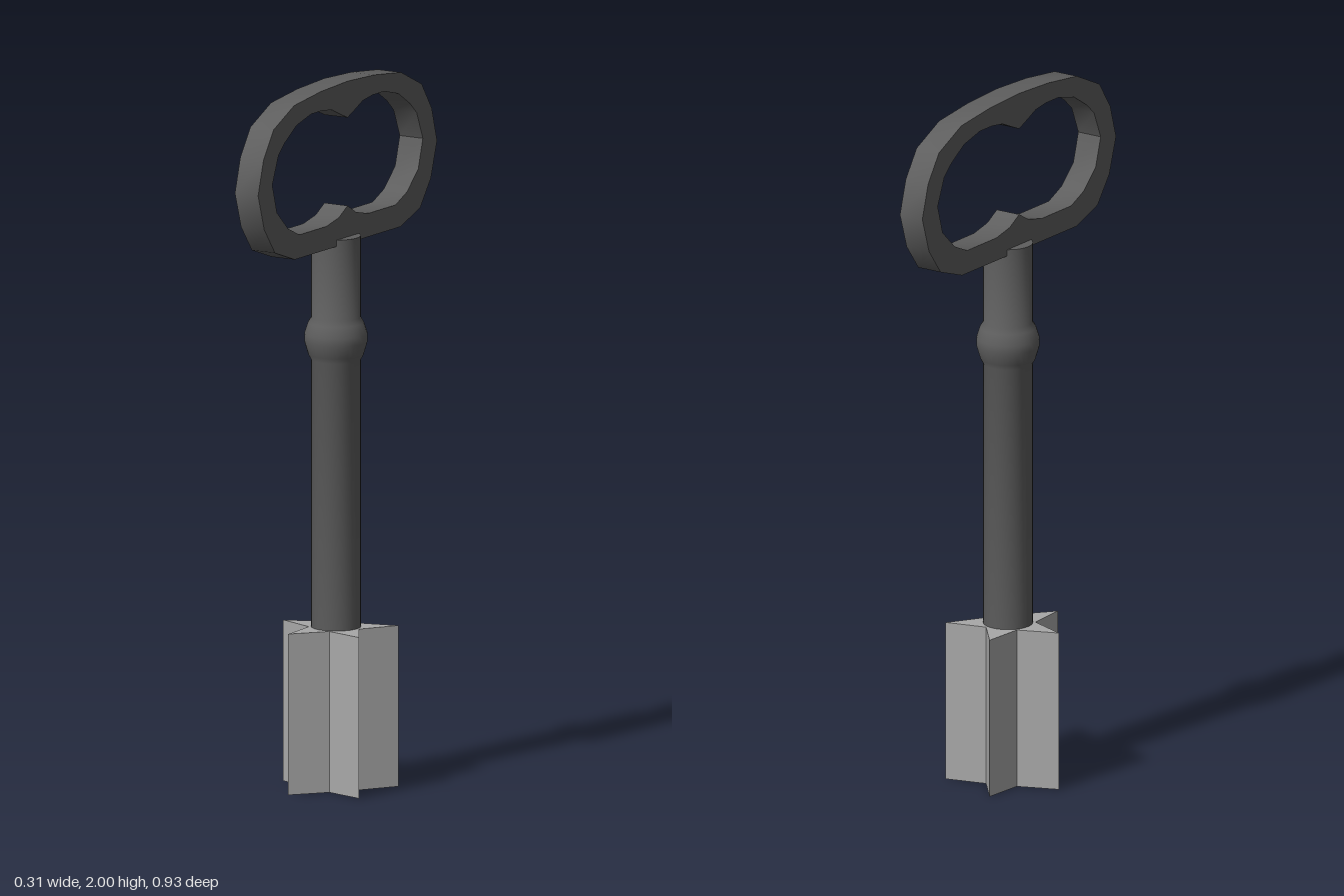
import * as THREE from 'three';
import { toCreasedNormals } from 'three/addons/utils/BufferGeometryUtils.js';

const AXIS_X = 0.016;

// Closed loop from the points of one half, mirrored across the vertical axis
function mirroredLoop(half) {
  const pts = half.map(([x, y]) => new THREE.Vector2(x, y));
  const other = pts.filter((p) => p.x > 0).reverse().map((p) => new THREE.Vector2(-p.x, p.y));
  return [...pts, ...other];
}

export function createModel() {
  const model = new THREE.Group();
  model.name = 'key';
  const darkMetal = new THREE.MeshStandardMaterial({ color: 0x5e5e5e });
  const lightMetal = new THREE.MeshStandardMaterial({ color: 0xa8a8a8 });

  const add = (name, geometry, material) => {
    const mesh = new THREE.Mesh(geometry, material);
    mesh.name = name;
    mesh.position.x = AXIS_X;
    model.add(mesh);
  };

  // Bow: flat oval ring whose opening is pinched in the middle
  const bowShape = new THREE.Shape(mirroredLoop([
    [0, 2], [0.14, 1.994], [0.278, 1.978], [0.386, 1.927], [0.438, 1.85], [0.466, 1.754],
    [0.434, 1.653], [0.378, 1.578], [0.275, 1.542],
  ]));
  // The opening runs the other way round so that its walls face inward
  bowShape.holes.push(new THREE.Path(mirroredLoop([
    [0, 1.897], [0.04, 1.914], [0.08, 1.932], [0.13, 1.939], [0.19, 1.939], [0.265, 1.92],
    [0.325, 1.882], [0.36, 1.85], [0.392, 1.772], [0.368, 1.69], [0.31, 1.635], [0.25, 1.608],
    [0.11, 1.608], [0.045, 1.622], [0, 1.648],
  ]).reverse()));
  const bowWidth = 0.076;
  const bow = new THREE.ExtrudeGeometry(bowShape, { depth: bowWidth, bevelEnabled: false });
  bow.translate(0, 0, -bowWidth / 2);
  bow.rotateY(Math.PI / 2);
  add('bow', toCreasedNormals(bow, 0.6), darkMetal);

  // Shaft: round rod with a rounded collar, its lower end inside the bit
  const profile = [
    [0, 0.26], [0.069, 0.26], [0.069, 1.21], [0.077, 1.225], [0.088, 1.262], [0.088, 1.284],
    [0.078, 1.315], [0.069, 1.33], [0.069, 1.56], [0, 1.56],
  ].map(([r, y]) => new THREE.Vector2(r, y));
  add('shaft', toCreasedNormals(new THREE.LatheGeometry(profile, 32), 0.8), darkMetal);

  // Bit: five-pointed star prism, one point towards -x
  const star = [];
  for (let i = 0; i < 10; i++) {
    const r = i % 2 ? 0.076 : 0.173;
    const a = Math.PI + (i * Math.PI) / 5;
    star.push(new THREE.Vector2(r * Math.cos(a), r * Math.sin(a)));
  }
  const bit = new THREE.ExtrudeGeometry(new THREE.Shape(star), { depth: 0.455, bevelEnabled: false });
  bit.rotateX(-Math.PI / 2);
  add('bit', bit, lightMetal);

  return model;
}
